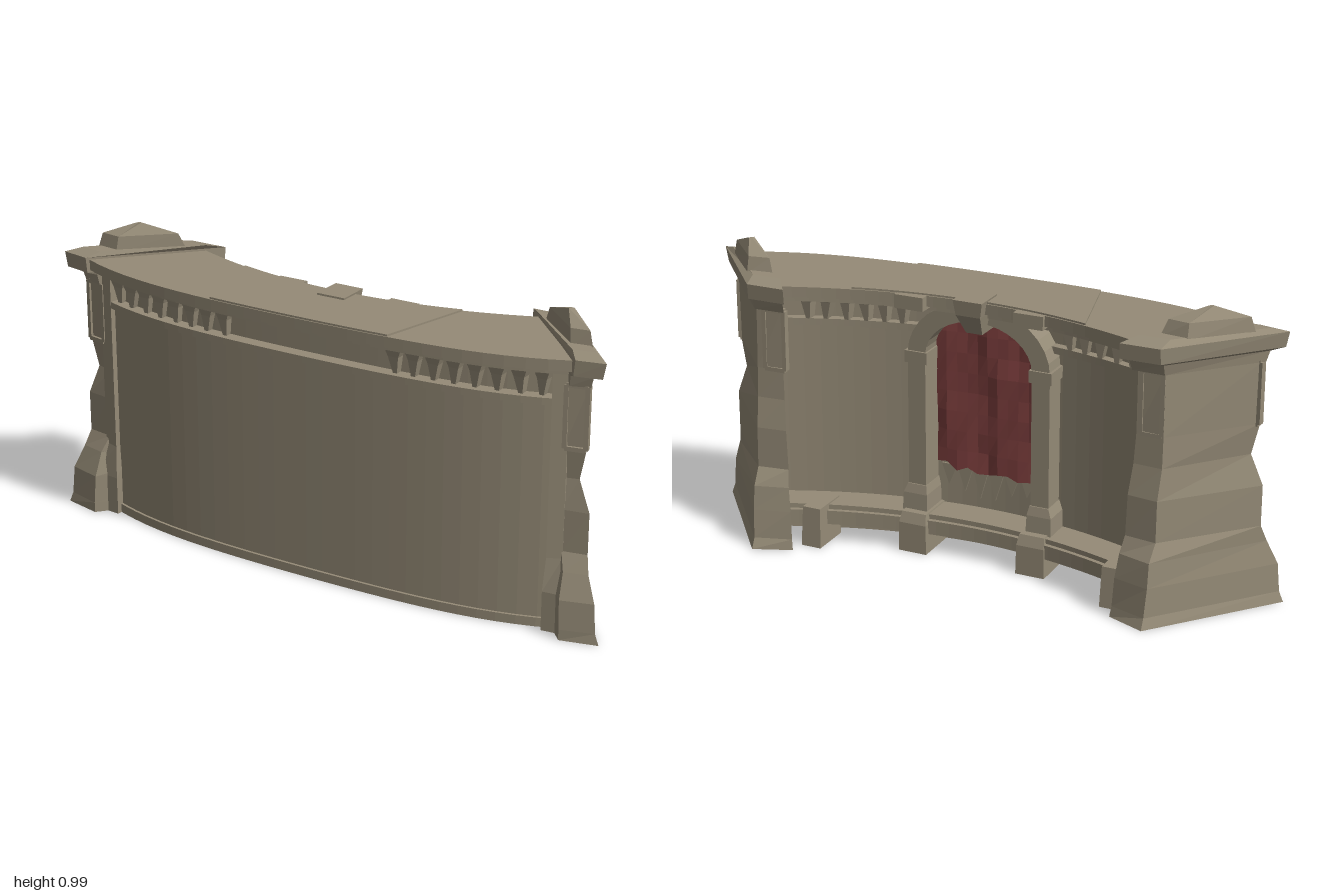
import * as THREE from 'three';

export function createModel() {
  const model = new THREE.Group();
  const stone = new THREE.MeshStandardMaterial({ color: 0x958b77, flatShading: true });
  stone.name = 'weathered stone';
  const cloth = new THREE.MeshStandardMaterial({ color: 0x80403f, flatShading: true, side: THREE.DoubleSide });
  cloth.name = 'red cloth';

  let seed = 7;
  const rand = () => (seed = (seed * 16807) % 2147483647) / 2147483647 - 0.5;

  const add = (name, geo, parent = model, mat = stone) => {
    const m = new THREE.Mesh(geo, mat);
    m.name = name;
    parent.add(m);
    return m;
  };
  const group = (name) => {
    const g = new THREE.Group();
    g.name = name;
    model.add(g);
    return g;
  };
  // Vertical prism from a plan outline of [x, z]
  const prism = (pts, y0, y1) => {
    const shape = new THREE.Shape(pts.map(([x, z]) => new THREE.Vector2(x, -z)));
    return new THREE.ExtrudeGeometry(shape, { depth: y1 - y0, bevelEnabled: false })
      .rotateX(-Math.PI / 2).translate(0, y0, 0);
  };
  // Arc-shaped slab: front and back curves, each with its own half width
  const arc = (f, a, b) => Array.from({ length: 29 }, (_, i) => {
    const x = a + (b - a) * i / 28;
    return [x, f(x)];
  });
  const slab = (front, fx, back, bx, y0, y1) =>
    prism([...arc(front, -fx, fx), ...arc(back, bx, -bx)], y0, y1);
  // Four-sided solid through stacked rings: [y, corners]; corners clockwise from above
  const loft = (rings) => {
    const p = [];
    const v = (k, i) => [rings[k][1][i][0], rings[k][0], rings[k][1][i][1]];
    for (let k = 0; k < rings.length - 1; k++) {
      for (let i = 0; i < 4; i++) {
        const j = (i + 1) % 4;
        p.push(...v(k, j), ...v(k, i), ...v(k + 1, i), ...v(k, j), ...v(k + 1, i), ...v(k + 1, j));
      }
    }
    const t = rings.length - 1;
    p.push(...v(t, 0), ...v(t, 2), ...v(t, 1), ...v(t, 0), ...v(t, 3), ...v(t, 2));
    p.push(...v(0, 0), ...v(0, 1), ...v(0, 2), ...v(0, 0), ...v(0, 2), ...v(0, 3));
    const g = new THREE.BufferGeometry();
    g.setAttribute('position', new THREE.Float32BufferAttribute(p, 3));
    g.computeVertexNormals();
    return g;
  };
  const rect = (x, z, hx, hz) => [[x - hx, z - hz], [x + hx, z - hz], [x + hx, z + hz], [x - hx, z + hz]];
  const box = (w, h, d, x, y, z) => new THREE.BoxGeometry(w, h, d).translate(x, y, z);

  // Curved wall
  const frontZ = (o) => (x) => o - 0.05 * x * x - 0.14 * x ** 4;
  const backZ = (o) => (x) => o - 0.33 * x * x;
  add('wall', slab(frontZ(0.19), 0.84, backZ(0.115), 0.72, 0, 0.735));
  add('upperWall', slab(frontZ(0.165), 0.84, backZ(0.115), 0.72, 0.735, 0.85));
  add('frontFoot', slab(frontZ(0.199), 0.84, backZ(0.12), 0.7, 0, 0.03));
  add('frontMoulding', slab(frontZ(0.208), 0.84, backZ(0.12), 0.7, 0.73, 0.752));
  // Rear ledge overhanging a recessed footing
  add('backLedge', slab(frontZ(0.15), 0.82, backZ(-0.015), 0.63, 0.066, 0.114));
  add('backLedgeTop', slab(frontZ(0.15), 0.82, backZ(0.0), 0.64, 0.114, 0.13));
  add('corniceBed', slab(frontZ(0.215), 0.85, backZ(0.0), 0.63, 0.832, 0.856));
  add('cornice', slab(frontZ(0.25), 0.875, backZ(-0.027), 0.625, 0.853, 0.888));
  add('corniceCrown', slab(frontZ(0.246), 0.32, backZ(-0.022), 0.4, 0.886, 0.894));

  // Hanging brackets under the cornice, front and back
  const brackets = group('brackets');
  const bracket = (x, z, out, h) => {
    const w = 0.031 + rand() * 0.004;
    add('bracket', loft([
      [0.84 - h, rect(x + rand() * 0.01, z, 0.007, 0.016)],
      [0.805, rect(x, z + out * 0.002, w * 0.55, 0.02)],
      [0.842, rect(x, z + out * 0.004, w, 0.024)],
    ]), brackets);
  };
  for (const s of [-1, 1]) {
    for (let i = 0; i < 8; i++) {
      const x = s * (0.31 + i * 0.066);
      bracket(x, frontZ(0.172)(x), 1, 0.088);
    }
    for (let i = 0; i < 6; i++) {
      const x = s * (0.29 + i * 0.06);
      bracket(x, backZ(0.1)(x), -1, 0.092);
    }
    // Back moulding on each side of the doorway
    const a = s * 0.22, b = s * 0.7;
    add('backMoulding', prism([...arc(backZ(0.13), a, b), ...arc(backZ(0.085), b, a)], 0.725, 0.748));
    // Broken stone block along the rear edge of the cornice
    add('corniceBlock', box(0.1, 0.045, 0.07, s * 0.205, 0.866, -0.028));
  }

  // Arched doorway on the back
  const door = group('doorway');
  const spring = 0.67, outer = 0.248, inner = 0.186;
  const arch = new THREE.Shape();
  arch.moveTo(-outer, 0.1);
  arch.lineTo(-outer, spring);
  arch.absellipse(0, spring, outer, 0.2, Math.PI, 0, true);
  arch.lineTo(outer, 0.1);
  arch.lineTo(inner, 0.1);
  arch.lineTo(inner, spring);
  arch.absellipse(0, spring, inner, 0.138, 0, Math.PI, false);
  arch.lineTo(-inner, 0.1);
  add('archFrame', new THREE.ExtrudeGeometry(arch, { depth: 0.11, bevelEnabled: false, curveSegments: 8 })
    .translate(0, 0, 0.012), door);
  add('keystone', loft([
    [0.78, rect(0, 0.03, 0.028, 0.045)],
    [0.85, rect(0, -0.005, 0.042, 0.055)],
    [0.9, rect(0, -0.01, 0.05, 0.055)],
  ]), door);
  for (const s of [-1, 1]) {
    add('pilasterCapital', box(0.078, 0.04, 0.11, s * 0.217, 0.66, 0.06), door);
    add('pilasterBase', loft([
      [0.12, rect(s * 0.22, 0.06, 0.044, 0.065)],
      [0.19, rect(s * 0.22, 0.06, 0.042, 0.06)],
      [0.22, rect(s * 0.217, 0.06, 0.033, 0.052)],
    ]), door);
    add('plinthBlock', loft([
      [0, rect(s * 0.21, 0.045, 0.05, 0.09)],
      [0.1, rect(s * 0.21, 0.045, 0.048, 0.088)],
      [0.135, rect(s * 0.21, 0.05, 0.043, 0.08)],
    ]), door);
    add('endPlinthBlock', loft([
      [0, rect(s * 0.53, -0.08, 0.035, 0.07)],
      [0.135, rect(s * 0.53, -0.075, 0.032, 0.065)],
    ]));
  }

  // Hanging cloth with soft folds and a torn lower edge
  const banner = new THREE.PlaneGeometry(0.36, 0.54, 10, 8);
  const pos = banner.attributes.position;
  for (let i = 0; i < pos.count; i++) {
    const x = pos.getX(i), y = pos.getY(i);
    pos.setZ(i, 0.004 * Math.sin(x * 35 + y * 5) + rand() * 0.007);
    if (y < -0.26) pos.setY(i, y + rand() * 0.05);
    if (y > 0.26) pos.setY(i, y - 1.5 * x * x);
  }
  banner.rotateY(Math.PI).translate(0, 0.535, 0.085);
  banner.computeVertexNormals();
  add('banner', banner, door, cloth);
  // Faded tatters below the cloth
  for (let i = 0; i < 6; i++) {
    const tip = new THREE.Shape([[-0.028, 0], [0.008 * rand(), -0.09 + rand() * 0.04], [0.028, 0]]
      .map(([x, y]) => new THREE.Vector2(x, y)));
    add('tatter', new THREE.ExtrudeGeometry(tip, { depth: 0.006, bevelEnabled: false })
      .translate(-0.14 + i * 0.056, 0.275, 0.092), door);
  }

  // End pillars; corners run inner back, outer back, outer front, inner front
  const body = [
    [0, [[0.55, -0.2], [0.675, -0.25], [1.0, 0.13], [0.87, 0.16]]],
    [0.035, [[0.555, -0.195], [0.675, -0.233], [0.986, 0.128], [0.87, 0.16]]],
    [0.13, [[0.56, -0.19], [0.68, -0.222], [0.978, 0.125], [0.865, 0.155]]],
    [0.21, [[0.57, -0.18], [0.68, -0.212], [0.945, 0.105], [0.86, 0.125]]],
    [0.265, [[0.58, -0.16], [0.685, -0.175], [0.93, 0.085], [0.84, 0.1]]],
    [0.4, [[0.585, -0.16], [0.685, -0.172], [0.93, 0.085], [0.835, 0.1]]],
    [0.5, [[0.595, -0.145], [0.69, -0.152], [0.89, 0.078], [0.825, 0.092]]],
    [0.6, [[0.6, -0.14], [0.69, -0.148], [0.912, 0.085], [0.835, 0.1]]],
    [0.805, [[0.6, -0.14], [0.69, -0.142], [0.915, 0.085], [0.84, 0.105]]],
  ];
  const cap = [
    [0.8, [[0.585, -0.15], [0.69, -0.153], [0.92, 0.09], [0.85, 0.11]]],
    [0.835, [[0.58, -0.165], [0.69, -0.165], [0.93, 0.095], [0.855, 0.115]]],
    [0.845, [[0.56, -0.19], [0.69, -0.19], [0.97, 0.12], [0.875, 0.14]]],
    [0.895, [[0.56, -0.195], [0.69, -0.195], [0.98, 0.12], [0.88, 0.14]]],
    [0.91, [[0.6, -0.14], [0.7, -0.14], [0.93, 0.085], [0.85, 0.1]]],
  ];
  const finial = [
    [0.9, [[0.65, -0.1], [0.74, -0.11], [0.9, 0.045], [0.82, 0.055]]],
    [0.953, [[0.67, -0.085], [0.74, -0.097], [0.885, 0.038], [0.815, 0.046]]],
    [0.99, [[0.772, -0.022], [0.78, -0.025], [0.786, -0.015], [0.778, -0.012]]],
  ];
  const pierFoot = [[0.79, 0.03], [0.82, 0.04], [0.89, 0.12], [0.795, 0.13]];
  const pier = [[0.79, 0.03], [0.82, 0.04], [0.855, 0.1], [0.8, 0.12]];
  for (const s of [-1, 1]) {
    const p = group(s > 0 ? 'leftPillar' : 'rightPillar');
    // The left pillar is slightly slimmer on its inner side
    const slim = s > 0 ? [0.02, 0.02, 0, 0.01] : [0, 0, 0, 0];
    const side = (rings) => loft(rings.map(([y, c]) => {
      const q = c.map(([x, z], i) => [s * (x + slim[i]), z]);
      return [y, s < 0 ? q.reverse() : q];
    }));
    add('pillarBody', side(body), p);
    add('pillarCap', side(cap), p);
    add('pillarFinial', side(finial), p);
    add('frontPier', side([[0, pierFoot], [0.13, pierFoot], [0.24, pier], [0.84, pier]]), p);
    // Raised niche frames on the narrow front and back ends
    for (const [x, z, turn, w] of [[0.878, 0.09, 0.2, 0.065], [0.648, -0.136, 0.03, 0.07]]) {
      const frame = new THREE.Group();
      frame.name = 'nicheFrame';
      frame.position.set(s * x, 0.7, z);
      frame.rotation.y = s * turn;
      for (const k of [-1, 1]) {
        add('frameSide', box(0.014, 0.2, 0.022, k * w / 2, 0, 0), frame);
        add('frameEnd', box(w, 0.014, 0.022, 0, k * 0.1, 0), frame);
      }
      p.add(frame);
    }
  }
  return model;
}
